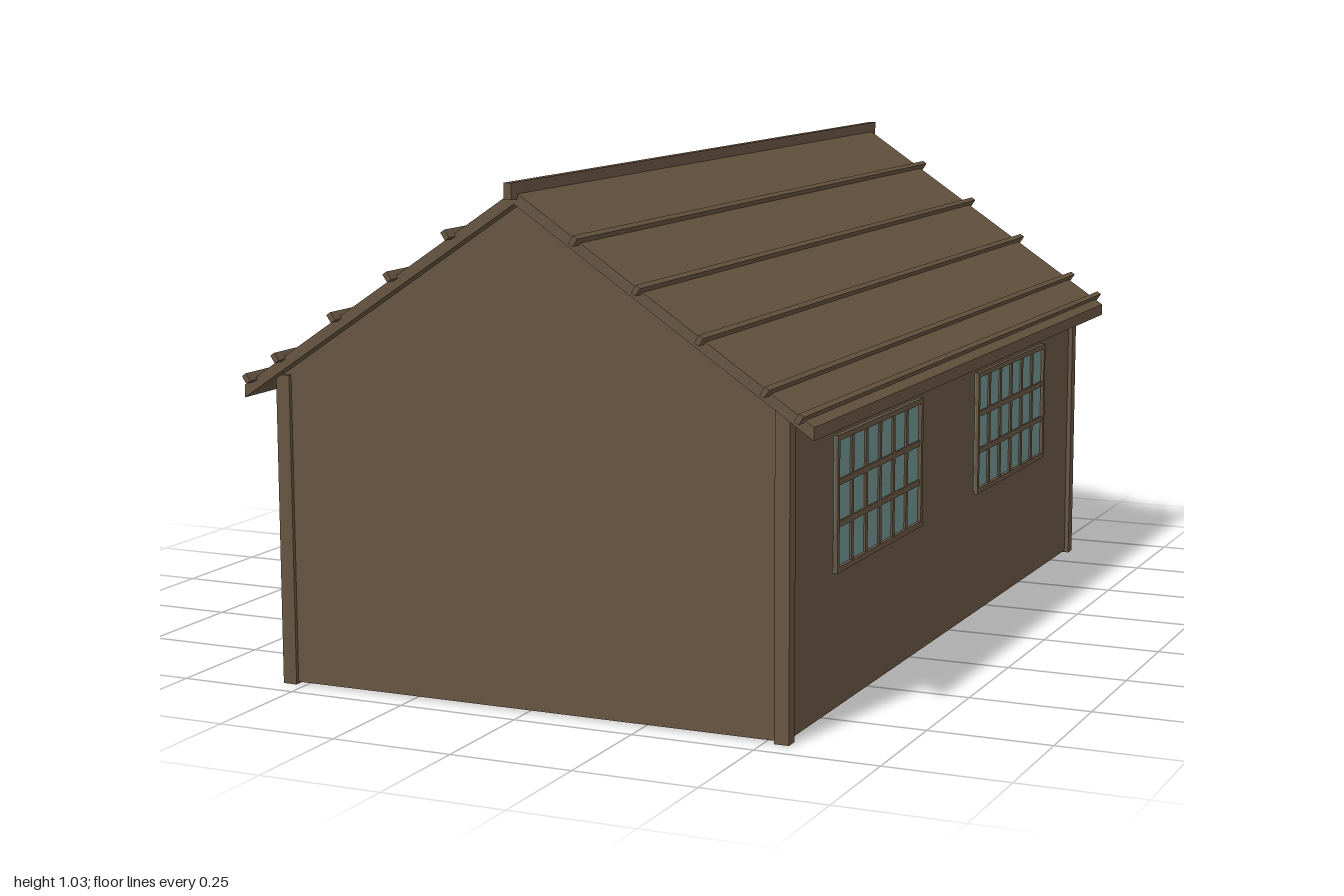
import * as THREE from 'three';

const timber = new THREE.MeshStandardMaterial({ color: 0x655440 });
timber.name = 'brown timber';
const glass = new THREE.MeshStandardMaterial({ color: 0x6f918e });
glass.name = 'window glass';

const SLOPE = 0.67; // roof drop per unit of x
const roofTop = (x) => 1.015 - SLOPE * Math.abs(x);
const roofUnder = (x) => 0.99 - SLOPE * Math.abs(x);

// box given by its limits on each axis
function block(parent, name, [x0, x1], [y0, y1], [z0, z1], mat = timber) {
  const mesh = new THREE.Mesh(new THREE.BoxGeometry(x1 - x0, y1 - y0, z1 - z0), mat);
  mesh.position.set((x0 + x1) / 2, (y0 + y1) / 2, (z0 + z1) / 2);
  mesh.name = name;
  parent.add(mesh);
  return mesh;
}

// outline in x and y, extruded from z0 to z1
function prism(parent, name, points, z0, z1) {
  const shape = new THREE.Shape(points.map(([x, y]) => new THREE.Vector2(x, y)));
  const geo = new THREE.ExtrudeGeometry(shape, { depth: z1 - z0, bevelEnabled: false });
  geo.translate(0, 0, z0);
  const mesh = new THREE.Mesh(geo, timber);
  mesh.name = name;
  parent.add(mesh);
}

// gridded window on the wall at side * x, spanning z0 to z1
function makeWindow(side, z0, z1) {
  const g = new THREE.Group();
  g.name = 'window';
  const y0 = 0.275, y1 = 0.545, f = 0.011, cols = 6, rows = 3;
  const span = (a, b) => (side > 0 ? [a, b] : [-b, -a]);
  const frameX = span(0.535, 0.549), barX = span(0.535, 0.546);
  block(g, 'glass', span(0.535, 0.542), [y0, y1], [z0, z1], glass);
  block(g, 'frameBottom', frameX, [y0, y0 + f], [z0, z1]);
  block(g, 'frameTop', frameX, [y1 - f, y1], [z0, z1]);
  block(g, 'frameSide', frameX, [y0 + f, y1 - f], [z0, z0 + f]);
  block(g, 'frameSide', frameX, [y0 + f, y1 - f], [z1 - f, z1]);
  for (let i = 1; i < cols; i++) {
    const z = z0 + f + ((z1 - z0 - 2 * f) * i) / cols;
    block(g, 'uprightBar', barX, [y0 + f, y1 - f], [z - 0.006, z + 0.006]);
  }
  for (let j = 1; j < rows; j++) {
    const y = y0 + f + ((y1 - y0 - 2 * f) * j) / rows;
    block(g, 'crossBar', barX, [y - 0.006, y + 0.006], [z0 + f, z1 - f]);
  }
  return g;
}

function makeDoor() {
  const g = new THREE.Group();
  g.name = 'door';
  const z = [-0.878, -0.86];
  block(g, 'doorPanel', [-0.145, 0.145], [0.004, 0.515], [-0.87, -0.86]);
  for (const s of [-1, 1]) block(g, 'doorStile', [s * 0.148 - 0.008, s * 0.148 + 0.008], [0, 0.53], z);
  for (const y of [0.008, 0.262, 0.522]) block(g, 'doorRail', [-0.14, 0.14], [y - 0.008, y + 0.008], z);
  return g;
}

export function createModel() {
  const model = new THREE.Group();
  model.name = 'shed';

  // walls, closed underneath
  const w = 0.54;
  prism(model, 'walls', [
    [-w, 0.004], [w, 0.004], [w, roofUnder(w) + 0.005], [0, 0.995], [-w, roofUnder(w) + 0.005],
  ], -0.867, 0.942);

  // corner posts
  for (const s of [-1, 1]) {
    for (const z of [[0.922, 0.95], [-0.875, -0.847]]) {
      block(model, 'cornerPost', s > 0 ? [0.52, 0.55] : [-0.55, -0.52], [0, roofUnder(0.55) + 0.008], z);
    }
  }

  // pitched roof
  const e = 0.607;
  prism(model, 'roof', [
    [-e, roofUnder(e)], [0, 0.99], [e, roofUnder(e)], [e, roofTop(e)], [0, 1.015], [-e, roofTop(e)],
  ], -0.9, 0.975);

  // roof battens and ridge
  const angle = Math.atan(SLOPE);
  for (const s of [-1, 1]) {
    for (const x of [0.135, 0.263, 0.39, 0.52, 0.587]) {
      const batten = new THREE.Mesh(new THREE.BoxGeometry(0.011, 0.018, 1.925), timber);
      batten.position.set(s * x, roofTop(x) + 0.004, 0.0375);
      batten.rotation.z = -s * angle;
      batten.name = 'roofBatten';
      model.add(batten);
    }
  }
  block(model, 'ridge', [-0.008, 0.008], [1.0, 1.032], [-0.925, 1.0]);

  // windows on both long sides
  for (const s of [-1, 1]) {
    model.add(makeWindow(s, 0.22, 0.705));
    model.add(makeWindow(s, -0.63, -0.14));
  }

  // back door with its sloping canopy
  model.add(makeDoor());
  const canopy = new THREE.Mesh(new THREE.BoxGeometry(0.39, 0.011, 0.145), timber);
  canopy.position.set(0, 0.602, -0.93);
  canopy.rotation.x = -0.31;
  canopy.name = 'doorCanopy';
  model.add(canopy);

  return model;
}
